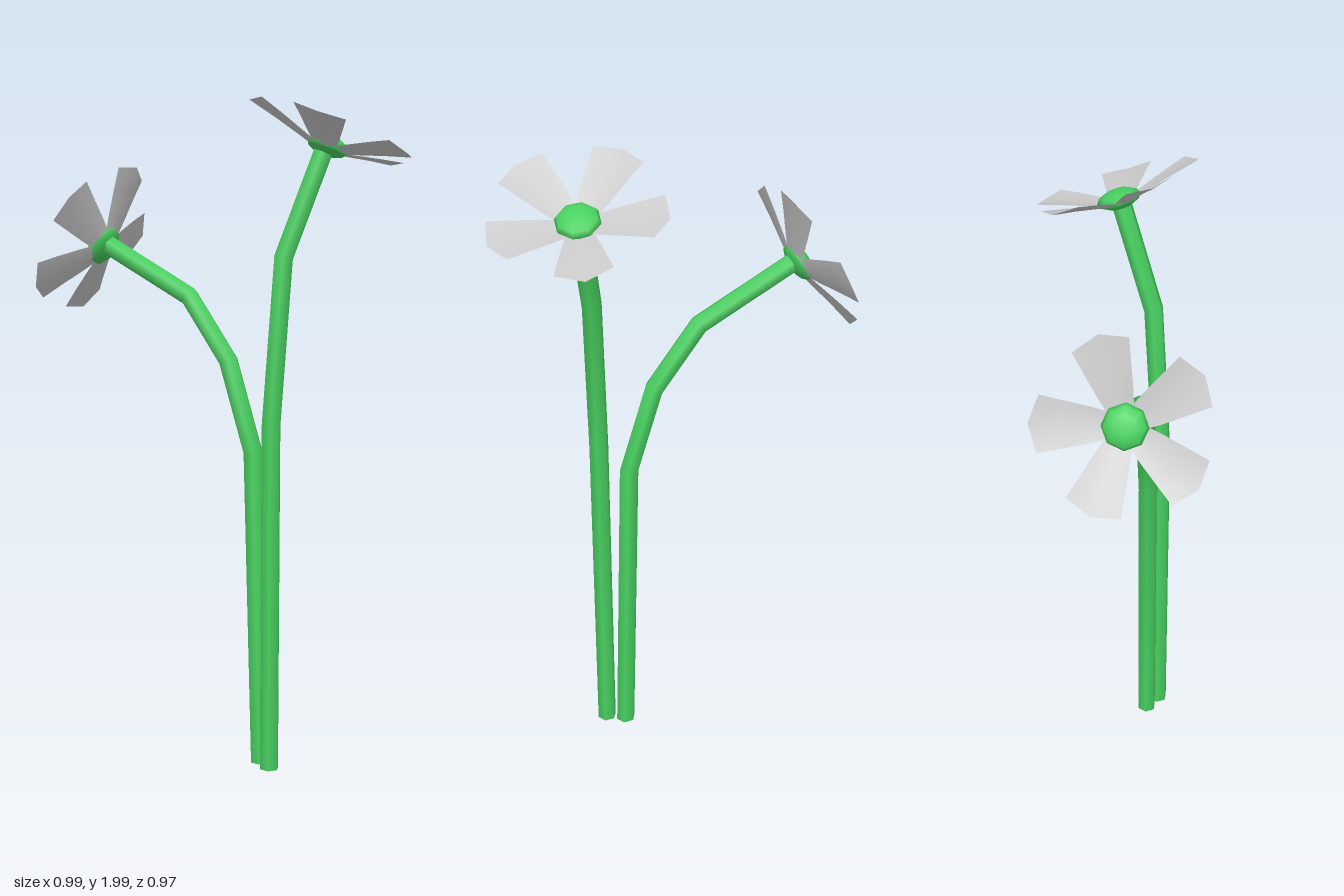
import * as THREE from 'three';

const GREEN = new THREE.MeshStandardMaterial({ color: 0x48d060 });
const GREY = new THREE.MeshStandardMaterial({ color: 0xcccccc, side: THREE.DoubleSide });
const UP = new THREE.Vector3(0, 1, 0);

// Six-sided stem: the rings of a cylinder are moved onto a bent path
function makeStem(name, path, radius) {
  const pts = path.map((p) => new THREE.Vector3(...p));
  const n = pts.length - 1;
  const side = new THREE.Vector3().subVectors(pts[n], pts[n - 1]).cross(UP).normalize();
  const dir = (i) => new THREE.Vector3().subVectors(pts[i + 1], pts[i]).normalize();
  const frames = pts.map((p, i) => {
    const t = i === 0 ? UP.clone() : i === n ? dir(n - 1) : dir(i - 1).add(dir(i)).normalize();
    const s = side.clone().addScaledVector(t, -side.dot(t)).normalize();
    return new THREE.Matrix4().makeBasis(s, t, s.clone().cross(t)).setPosition(p);
  });
  const geo = new THREE.CylinderGeometry(radius, radius, 1, 6, n);
  const { position, normal } = geo.attributes;
  const v = new THREE.Vector3();
  for (let i = 0; i < position.count; i++) {
    const frame = frames[Math.round((position.getY(i) + 0.5) * n)];
    v.fromBufferAttribute(position, i).setY(0).applyMatrix4(frame);
    position.setXYZ(i, v.x, v.y, v.z);
    v.fromBufferAttribute(normal, i).transformDirection(frame);
    normal.setXYZ(i, v.x, v.y, v.z);
  }
  const mesh = new THREE.Mesh(geo, GREEN);
  mesh.name = name;
  return mesh;
}

// Petal pointing along +x: cross-sections of distance, half width, edge height, extra length in the middle
function makePetalGeometry() {
  const rows = [
    [0.02, 0.03, 0.0, 0],
    [0.09, 0.049, 0.02, 0.005],
    [0.16, 0.064, 0.04, 0.015],
    [0.23, 0.079, 0.058, 0.028],
  ];
  const geo = new THREE.PlaneGeometry(1, 1, 2, rows.length - 1);
  const pos = geo.attributes.position;
  rows.forEach(([r, w, h, bulge], j) => {
    for (let i = 0; i < 3; i++) {
      const k = i - 1;
      pos.setXYZ(j * 3 + i, r + (k ? 0 : bulge), h - (k ? 0 : 0.008), k * w);
    }
  });
  geo.computeVertexNormals();
  return geo;
}

// Flower head: local y is the facing direction, local x is level
function makeFlower(name, center, facing, levelSign, petalGeo) {
  const flower = new THREE.Group();
  flower.name = name;
  for (let i = 0; i < 5; i++) {
    const petal = new THREE.Mesh(petalGeo, GREY);
    petal.name = 'petal';
    petal.rotation.y = (i * Math.PI * 2) / 5;
    flower.add(petal);
  }
  const heart = new THREE.Mesh(new THREE.SphereGeometry(0.066, 8, 6), GREEN);
  heart.name = 'flowerCenter';
  heart.scale.y = 0.45;
  heart.position.y = 0.012;
  flower.add(heart);

  const y = new THREE.Vector3(...facing).normalize();
  const x = new THREE.Vector3().crossVectors(UP, y).normalize().multiplyScalar(levelSign);
  const basis = new THREE.Matrix4().makeBasis(x, y, x.clone().cross(y));
  flower.quaternion.setFromRotationMatrix(basis);
  flower.position.set(...center);
  return flower;
}

export function createModel() {
  const model = new THREE.Group();
  model.name = 'flowers';
  const petalGeo = makePetalGeometry();

  // Tall flower, leaning to +x
  model.add(makeStem('tallStem', [
    [0.077, 0, 0.258], [0.078, 1.05, 0.257], [0.115, 1.54, 0.255], [0.24, 1.845, 0.25],
  ], 0.03));
  model.add(makeFlower('tallFlower', [0.247, 1.847, 0.25], [0.385, 0.92, 0], 1, petalGeo));

  // Short flower, arching to the back
  model.add(makeStem('shortStem', [
    [0.073, 0, 0.195], [0.055, 0.96, 0.17], [0.003, 1.225, 0.1],
    [-0.078, 1.41, -0.02], [-0.258, 1.555, -0.272],
  ], 0.031));
  model.add(makeFlower('shortFlower', [-0.262, 1.547, -0.277], [-0.54, 0.44, -0.72], -1, petalGeo));

  return model;
}
